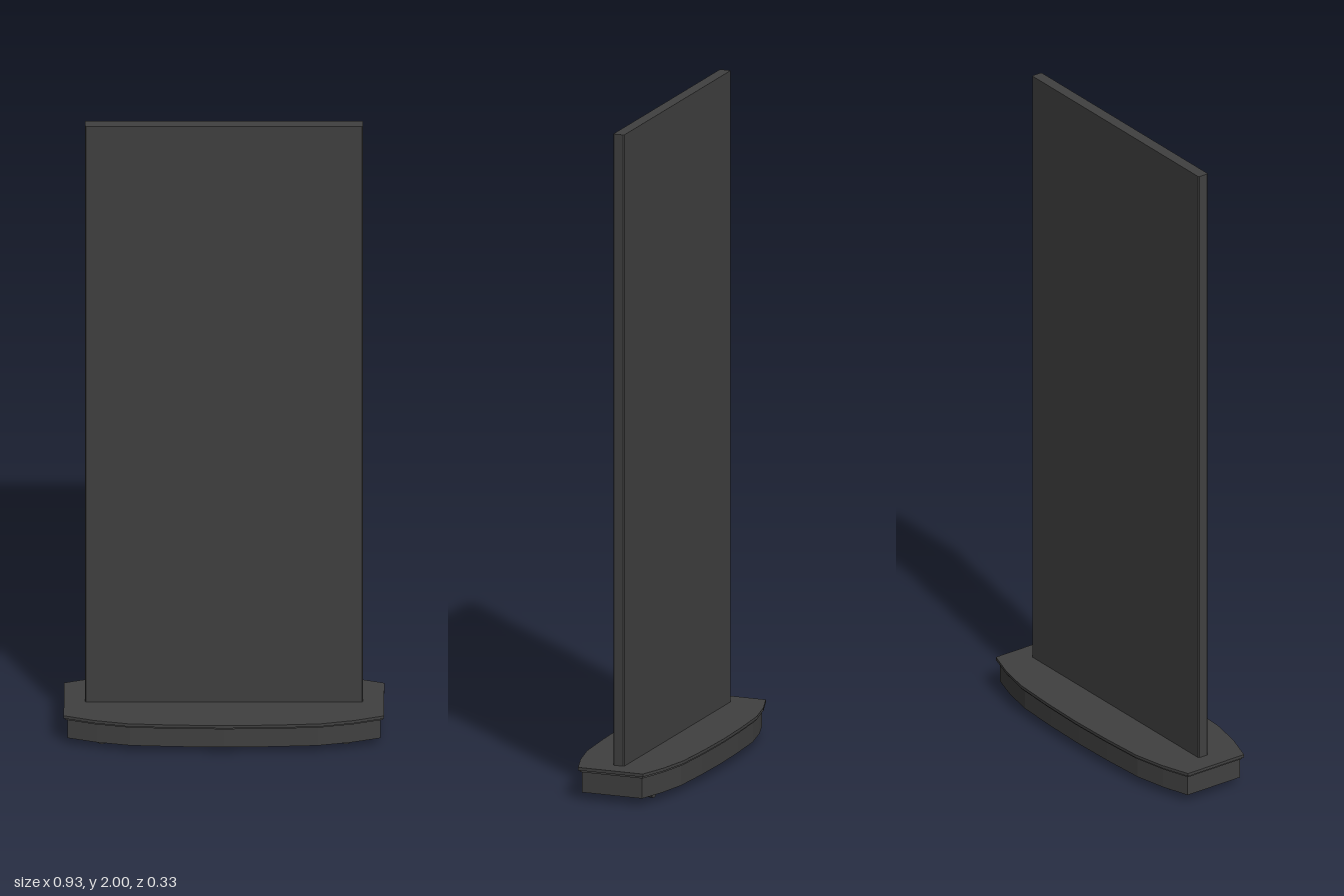
import * as THREE from 'three';

const material = new THREE.MeshStandardMaterial({ color: 0x404040, side: THREE.DoubleSide, flatShading: true });

// Bowed base outline with straight ends, shrunk by an inset
function outline(inset, Type = THREE.Shape) {
  const side = [[0.467, 0.102], [0.38, 0.131], [0.28, 0.152], [0.14, 0.16], [0, 0.163]];
  const half = [...side, ...side.slice(0, -1).reverse().map(([x, z]) => [-x, z])];
  const full = [...half, ...half.map(([x, z]) => [-x, -z])];
  return new Type(full.map(([x, z]) =>
    new THREE.Vector2(x * (1 - inset / 0.467), z * (1 - inset / 0.163))));
}

// Extrude a plan shape upward from y0 to y1
function slab(name, shape, y0, y1) {
  const geometry = new THREE.ExtrudeGeometry(shape, { depth: y1 - y0, bevelEnabled: false });
  geometry.rotateX(-Math.PI / 2).translate(0, y0, 0);
  const mesh = new THREE.Mesh(geometry, material);
  mesh.name = name;
  return mesh;
}

function castor(x, z) {
  const group = new THREE.Group();
  group.name = 'castor';
  // twin wheels on an axle
  for (const [r, w, dz] of [[0.023, 0.011, -0.009], [0.023, 0.011, 0.009], [0.008, 0.02, 0]]) {
    const wheel = new THREE.Mesh(new THREE.CylinderGeometry(r, r, w, 16).rotateX(Math.PI / 2), material);
    wheel.name = r > 0.01 ? 'castorWheel' : 'castorAxle';
    wheel.position.set(0, 0.023, dz);
    group.add(wheel);
  }
  const stem = new THREE.Mesh(new THREE.CylinderGeometry(0.007, 0.007, 0.064, 10), material);
  stem.name = 'castorStem';
  stem.position.y = 0.055;
  group.add(stem);
  group.position.set(x, 0, z);
  return group;
}

export function createModel() {
  const model = new THREE.Group();
  model.name = 'displayStand';

  // Upright panel with slightly chamfered vertical edges
  const w = 0.405, d = 0.017, c = 0.003;
  const plan = new THREE.Shape([
    [w, -d + c], [w, d - c], [w - c, d], [-w + c, d],
    [-w, d - c], [-w, -d + c], [-w + c, -d], [w - c, -d],
  ].map(([x, z]) => new THREE.Vector2(x, z)));
  model.add(slab('panel', plan, 0.095, 2));

  // Overhanging top plate and a thin step under it
  model.add(slab('basePlate', outline(0), 0.09, 0.099));
  model.add(slab('basePlateStep', outline(0.005), 0.084, 0.09));

  // Hollow skirt, open underneath
  const skirt = outline(0.011);
  skirt.holes.push(outline(0.022, THREE.Path));
  model.add(slab('baseSkirt', skirt, 0.022, 0.084));

  // Castors inside the skirt
  for (const x of [-0.355, 0.355]) for (const z of [-0.077, 0.077]) model.add(castor(x, z));

  return model;
}
